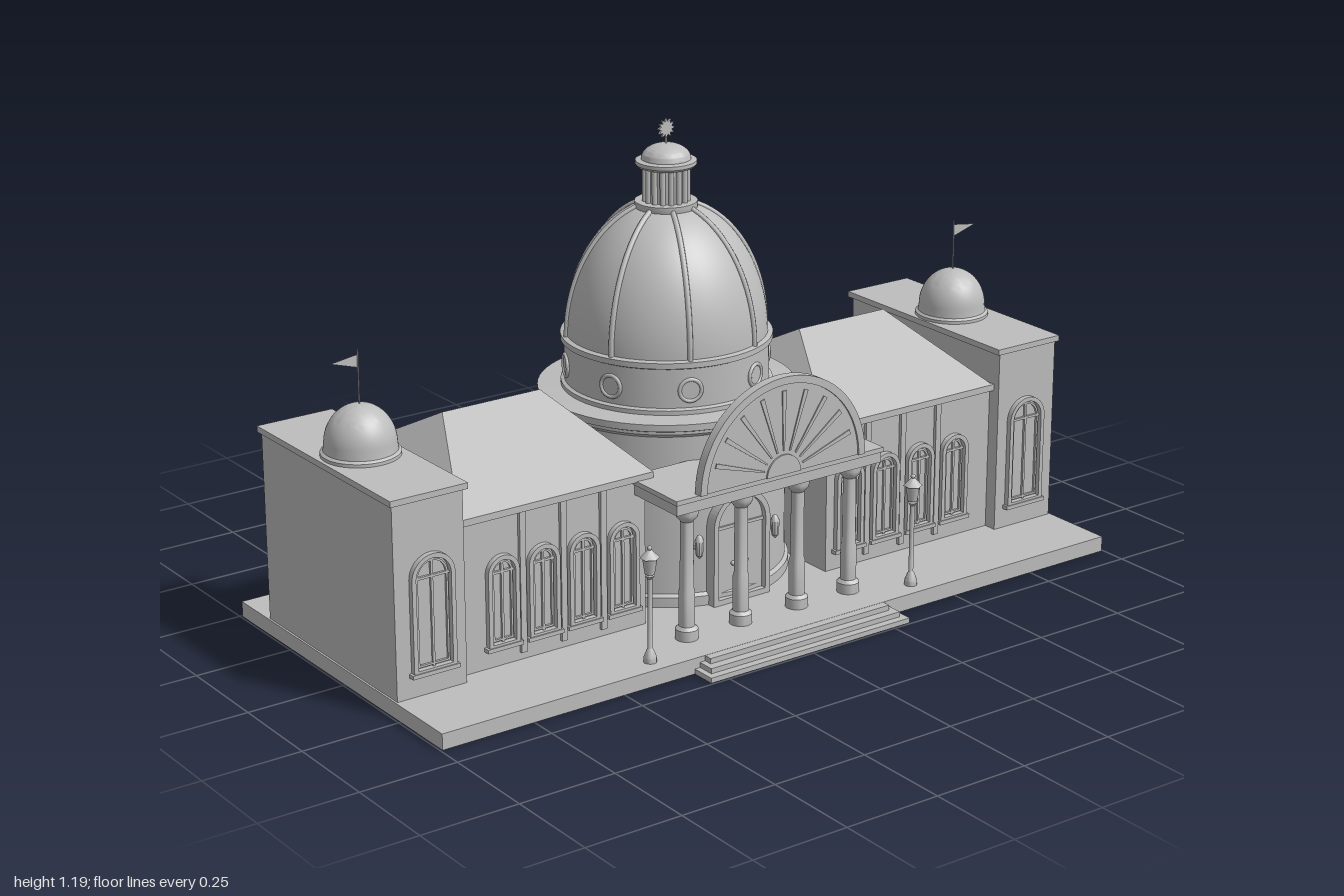
import * as THREE from 'three';
import { toCreasedNormals, mergeGeometries } from 'three/addons/utils/BufferGeometryUtils.js';

const stone = new THREE.MeshStandardMaterial({ color: 0xbdbdbd });
stone.name = 'stone grey';
const thin = new THREE.MeshStandardMaterial({ color: 0xbdbdbd, side: THREE.DoubleSide });
thin.name = 'stone grey';

export function createModel() {
  const model = new THREE.Group();
  model.name = 'domedBuilding';

  const add = (name, geo, x = 0, y = 0, z = 0, parent = model) => {
    const m = new THREE.Mesh(geo, stone);
    m.name = name;
    m.position.set(x, y, z);
    parent.add(m);
    return m;
  };
  // Box given by its limits on each axis
  const box = (name, x0, x1, y0, y1, z0, z1, parent) =>
    add(name, new THREE.BoxGeometry(x1 - x0, y1 - y0, z1 - z0), (x0 + x1) / 2, (y0 + y1) / 2, (z0 + z1) / 2, parent);
  // Turned part from [radius, height] pairs, with sharp steps kept
  const turned = (name, pts, x, z, seg = 48, parent) =>
    add(name, toCreasedNormals(new THREE.LatheGeometry(pts.map(p => new THREE.Vector2(...p)), seg), 0.6), x, 0, z, parent);
  // Quarter-ellipse dome profile up to a chosen fraction of its sweep
  const domeProfile = (r, y, h, sweep = 1, n = 16) =>
    Array.from({ length: n + 1 }, (_, i) => {
      const a = (i / n) * sweep * Math.PI / 2;
      return [Math.max(r * Math.cos(a), 0), y + h * Math.sin(a)];
    });
  // Round-headed outline standing on y = 0
  const archOutline = (w, h, inset = 0, Type = THREE.Shape) => {
    const r = w / 2 - inset, s = new Type();
    s.moveTo(-r, inset);
    s.lineTo(r, inset);
    s.lineTo(r, h - w / 2);
    s.absarc(0, h - w / 2, r, 0, Math.PI, false);
    s.lineTo(-r, inset);
    return s;
  };
  const extrude = (shape, depth) =>
    new THREE.ExtrudeGeometry(shape, { depth, bevelEnabled: false, curveSegments: 14 });
  // Arched window: raised frame, sill and glazing bars, facing +z
  const windowGeometry = (w, h) => {
    const frame = archOutline(w, h);
    frame.holes.push(archOutline(w, h, 0.011, THREE.Path));
    const inner = archOutline(w - 0.03, h - 0.03);
    inner.holes.push(archOutline(w - 0.03, h - 0.03, 0.005, THREE.Path));
    const parts = [
      extrude(frame, 0.014),
      extrude(inner, 0.006).translate(0, 0.015, 0),
      new THREE.BoxGeometry(0.006, h - 0.02, 0.012).translate(0, h / 2, 0),
      new THREE.BoxGeometry(w - 0.02, 0.006, 0.012).translate(0, h - w / 2, 0),
      new THREE.BoxGeometry(w + 0.012, 0.01, 0.034).translate(0, 0, 0),
    ];
    return mergeGeometries(parts.map(p => p.index ? p.toNonIndexed() : p));
  };
  const frontWindow = windowGeometry(0.086, 0.23);
  const towerWindow = windowGeometry(0.115, 0.29);
  const backWindow = windowGeometry(0.115, 0.25);

  // Base platform and front steps
  box('basePlatform', -0.995, 0.995, 0, 0.04, -0.495, 0.43);
  box('lowerStep', -0.3, 0.3, 0, 0.013, 0.43, 0.495);
  box('middleStep', -0.285, 0.285, 0.013, 0.026, 0.43, 0.475);
  box('upperStep', -0.27, 0.27, 0.026, 0.0395, 0.43, 0.452);

  const sides = [-1, 1];
  const mirrorBox = (name, s, x0, x1, ...rest) =>
    box(name, Math.min(s * x0, s * x1), Math.max(s * x0, s * x1), ...rest);

  for (const s of sides) {
    // Wing walls, cornice and hipped roof
    mirrorBox('wing', s, 0.275, 0.81, 0.04, 0.415, -0.34, 0.195);
    mirrorBox('wingCornice', s, 0.262, 0.805, 0.415, 0.432, -0.356, 0.211);
    const roof = new THREE.BoxGeometry(0.537, 0.153, 0.561).toNonIndexed();
    const p = roof.attributes.position;
    for (let i = 0; i < p.count; i++) {
      if (p.getY(i) > 0) p.setXYZ(i, Math.sign(p.getX(i)) * 0.137, p.getY(i), 0);
    }
    roof.computeVertexNormals();
    add('wingRoof', roof, s * 0.53, 0.5085, -0.0725);

    // Wing windows and slim pilasters
    for (const x of [0.343, 0.457, 0.57, 0.683]) add('wingFrontWindow', frontWindow, s * x, 0.09, 0.195);
    for (const x of [0.4, 0.513, 0.627]) {
      mirrorBox('pilaster', s, x - 0.008, x + 0.008, 0.06, 0.415, 0.19, 0.204);
    }
    for (const x of [0.405, 0.65]) add('wingBackWindow', backWindow, s * x, 0.11, -0.34).rotation.y = Math.PI;

    // End tower with small dome and pennant
    mirrorBox('tower', s, 0.803, 0.99, 0.04, 0.518, -0.363, 0.23);
    mirrorBox('towerCap', s, 0.793, 0.997, 0.518, 0.533, -0.372, 0.238);
    add('towerWindow', towerWindow, s * 0.893, 0.097, 0.23);
    turned('towerDome', [[0.095, 0.53], [0.095, 0.541], [0.088, 0.546], ...domeProfile(0.086, 0.56, 0.096)], s * 0.893, -0.065, 40);
    add('flagPole', new THREE.CylinderGeometry(0.002, 0.002, 0.135, 8), s * 0.893, 0.718, -0.065);
    const flag = new THREE.Shape([[0, 0.775], [s * 0.072, 0.765], [0, 0.743]].map(q => new THREE.Vector2(...q)));
    add('pennant', new THREE.ShapeGeometry(flag), s * 0.893, 0, -0.065).material = thin;

    // Street lamp
    const lamp = new THREE.Group();
    lamp.name = 'streetLamp';
    lamp.position.set(s * 0.395, 0, 0.383);
    model.add(lamp);
    turned('lampPost', [[0.016, 0.04], [0.016, 0.052], [0.009, 0.07], [0.006, 0.075], [0.006, 0.25], [0.012, 0.258], [0, 0.264]], 0, 0, 12, lamp);
    add('lampLantern', new THREE.CylinderGeometry(0.018, 0.012, 0.04, 6).toNonIndexed(), 0, 0.282, 0, lamp);
    add('lampRoof', new THREE.CylinderGeometry(0.005, 0.024, 0.02, 6).toNonIndexed(), 0, 0.312, 0, lamp);
    add('lampFinial', new THREE.SphereGeometry(0.006, 10, 8), 0, 0.326, 0, lamp);

    // Wall lamp beside the door
    turned('wallLamp', [[0, 0.168], [0.009, 0.178], [0.012, 0.215], [0.006, 0.228], [0, 0.232]], s * 0.115, 0.195, 10);
    box('wallLampBracket', s * 0.115 - 0.004, s * 0.115 + 0.004, 0.19, 0.2, 0.16, 0.195);
  }

  // Rotunda wall, cornice and drum
  const cz = -0.1;
  turned('rotunda', [[0.305, 0.04], [0.305, 0.065], [0.296, 0.072], [0.296, 0.478], [0.308, 0.488],
    [0.308, 0.495], [0.32, 0.5], [0.32, 0.517], [0.25, 0.522]], 0, cz, 64);
  turned('drum', [[0.262, 0.518], [0.262, 0.532], [0.253, 0.536], [0.253, 0.634], [0.262, 0.638],
    [0.262, 0.652], [0.247, 0.656]], 0, cz, 64);

  // Main dome with ribs, and round windows under each rib
  turned('mainDome', domeProfile(0.25, 0.65, 0.335, 0.85, 28), 0, cz, 64);
  const ribCurve = new THREE.CatmullRomCurve3(domeProfile(0.251, 0.65, 0.336, 0.82, 14).map(q => new THREE.Vector3(q[0], q[1], 0)));
  const ribGeo = new THREE.TubeGeometry(ribCurve, 28, 0.007, 8);
  const ringGeo = new THREE.TorusGeometry(0.027, 0.005, 8, 28);
  const paneGeo = new THREE.CylinderGeometry(0.026, 0.026, 0.008, 28).rotateX(Math.PI / 2);
  for (let i = 0; i < 8; i++) {
    const a = (i + 0.5) * Math.PI / 4;
    add('domeRib', ribGeo, 0, 0, cz).rotation.y = a;
    const bay = new THREE.Group();
    bay.name = 'roundWindow';
    bay.position.set(0, 0.58, cz);
    bay.rotation.y = a;
    model.add(bay);
    add('roundWindowFrame', ringGeo, 0, 0, 0.254, bay);
    add('roundWindowPane', paneGeo, 0, 0, 0.251, bay);
  }

  // Lantern, its colonnade, cupola and finial
  turned('lanternBase', [[0.07, 0.955], [0.077, 0.968], [0.077, 0.984], [0, 0.986]], 0, cz, 40);
  turned('lanternCore', [[0.051, 0.98], [0.051, 1.075]], 0, cz, 32);
  const lanternColumn = new THREE.CylinderGeometry(0.007, 0.007, 0.09, 10);
  for (let i = 0; i < 16; i++) {
    const a = i * Math.PI / 8;
    add('lanternColumn', lanternColumn, 0.053 * Math.sin(a), 1.029, cz + 0.053 * Math.cos(a));
  }
  turned('cupola', [[0, 1.07], [0.07, 1.07], [0.075, 1.076], [0.075, 1.085], [0.062, 1.088], ...domeProfile(0.061, 1.088, 0.038)], 0, cz, 40);
  add('finialPole', new THREE.CylinderGeometry(0.003, 0.003, 0.04, 8), 0, 1.138, cz);
  const sun = new THREE.Shape();
  for (let i = 0; i < 24; i++) {
    const a = i * Math.PI / 12, r = i % 2 ? 0.016 : 0.025;
    sun[i ? 'lineTo' : 'moveTo'](r * Math.sin(a), r * Math.cos(a));
  }
  add('sunFinial', extrude(sun, 0.006), 0, 1.163, cz - 0.003);

  // Portico slab and columns
  box('porticoSlab', -0.305, 0.305, 0.378, 0.405, 0.17, 0.367);
  box('porticoTop', -0.309, 0.309, 0.405, 0.417, 0.167, 0.371);
  for (const x of [-0.245, -0.085, 0.085, 0.245]) {
    turned('porticoColumn', [[0.028, 0.04], [0.028, 0.066], [0.02, 0.074], [0.02, 0.16], [0.017, 0.17],
      [0.016, 0.34], [0.026, 0.352], [0.028, 0.36], [0.028, 0.378]], x, 0.322, 24);
  }

  // Half-round gable with raised rim and sunburst spokes
  const half = (r, inner) => {
    const s = new THREE.Shape();
    s.absarc(0, 0, r, 0, Math.PI, false);
    if (inner) s.absarc(0, 0, inner, Math.PI, 0, true);
    s.closePath();
    return s;
  };
  const smoothExtrude = (shape, depth) =>
    toCreasedNormals(new THREE.ExtrudeGeometry(shape, { depth, bevelEnabled: false, curveSegments: 40 }), 0.6);
  add('gablePanel', smoothExtrude(half(0.235), 0.014), 0, 0.417, 0.36);
  add('gableRim', smoothExtrude(half(0.245, 0.226), 0.024), 0, 0.417, 0.355);
  add('gableHub', smoothExtrude(half(0.05), 0.004), 0, 0.417, 0.374);
  const spoke = new THREE.Shape([[0.06, -0.002], [0.21, -0.006], [0.21, 0.006], [0.06, 0.002]].map(q => new THREE.Vector2(...q)));
  for (let i = 1; i < 10; i++) add('gableSpoke', extrude(spoke, 0.003), 0, 0.417, 0.374).rotation.z = i * Math.PI / 10;

  // Arched double door
  const doorFrame = archOutline(0.17, 0.285);
  doorFrame.holes.push(archOutline(0.17, 0.285, 0.014, THREE.Path));
  add('doorFrame', extrude(doorFrame, 0.055), 0, 0.04, 0.16);
  add('doorPanel', extrude(archOutline(0.146, 0.272), 0.04), 0, 0.04, 0.16);
  box('doorSeam', -0.002, 0.002, 0.04, 0.235, 0.19, 0.203);
  box('doorTransom', -0.072, 0.072, 0.232, 0.24, 0.19, 0.205);
  for (const s of sides) add('doorKnob', new THREE.SphereGeometry(0.006, 12, 8), s * 0.02, 0.138, 0.204);

  return model;
}
